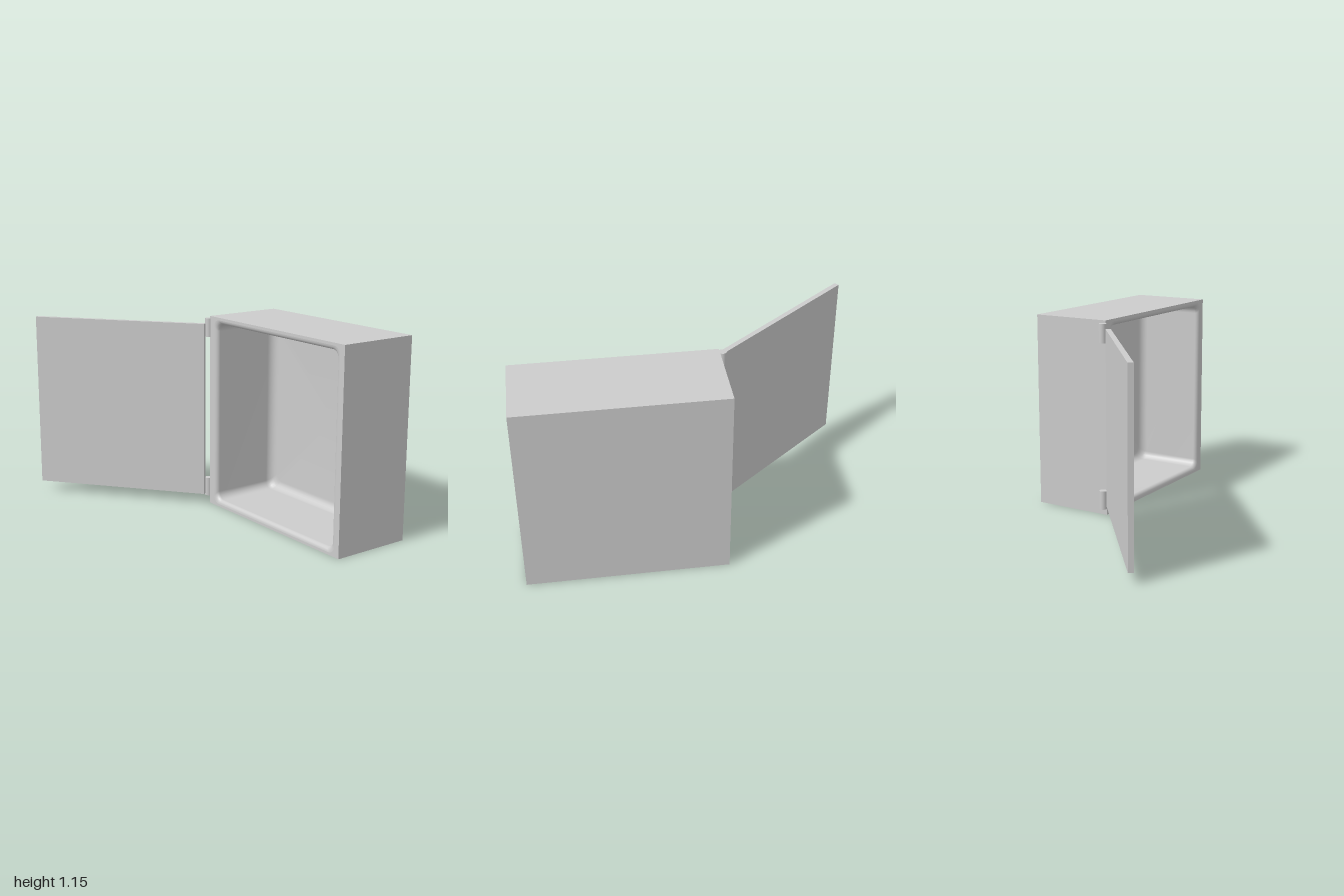
import * as THREE from 'three';

const grey = () => new THREE.MeshStandardMaterial({ color: 0xcccccc });

function add(parent, name, geometry, x = 0, y = 0, z = 0) {
  const mesh = new THREE.Mesh(geometry, grey());
  mesh.name = name;
  mesh.position.set(x, y, z);
  parent.add(mesh);
  return mesh;
}

// Counter-clockwise rounded rectangle
function ring(x0, x1, y0, y1, r, steps = 5) {
  const corners = [[x1 - r, y0 + r, -0.5], [x1 - r, y1 - r, 0], [x0 + r, y1 - r, 0.5], [x0 + r, y0 + r, 1]];
  const points = [];
  for (const [cx, cy, start] of corners) {
    for (let i = 0; i <= steps; i++) {
      const a = (start + 0.5 * i / steps) * Math.PI;
      points.push(new THREE.Vector2(cx + r * Math.cos(a), cy + r * Math.sin(a)));
    }
  }
  return points;
}

// Opening outline, shrunk by an inset
const opening = (inset) => ring(-0.085 + inset, 0.94 - inset, 0.04 + inset, 1.11 - inset, 0.045);

const FRONT = -0.115, BACK = -0.595;

function cavityGeometry() {
  // Profile: rounded lip, straight wall, fillet into the back
  const lip = 0.025, fillet = 0.05, floor = -0.55;
  const profile = [];
  for (let i = 0; i <= 5; i++) {
    const a = i / 5 * Math.PI / 2;
    profile.push([-lip + lip * Math.sin(a), FRONT - lip + lip * Math.cos(a)]);
  }
  for (let i = 0; i <= 6; i++) {
    const a = i / 6 * Math.PI / 2;
    profile.push([fillet * (1 - Math.cos(a)), floor + fillet * (1 - Math.sin(a))]);
  }
  const positions = [], index = [];
  let count = 0;
  for (const [inset, z] of profile) {
    const points = opening(inset);
    count = points.length;
    for (const p of points) positions.push(p.x, p.y, z);
  }
  for (let i = 0; i < profile.length - 1; i++) {
    for (let j = 0; j < count; j++) {
      const a = i * count + j, b = i * count + (j + 1) % count;
      index.push(a, b, a + count, b, b + count, a + count);
    }
  }
  // Slightly dished back panel
  const last = (profile.length - 1) * count, centre = profile.length * count;
  positions.push(0.4275, 0.575, floor - 0.02);
  for (let j = 0; j < count; j++) index.push(last + j, last + (j + 1) % count, centre);
  const g = new THREE.BufferGeometry();
  g.setAttribute('position', new THREE.Float32BufferAttribute(positions, 3));
  g.setIndex(index);
  g.computeVertexNormals();
  return g;
}

export function createModel() {
  const model = new THREE.Group();
  model.name = 'wallCabinet';

  // Cabinet: outer shell without its front face, front rim, inner cavity
  const cabinet = new THREE.Group();
  cabinet.name = 'cabinet';
  model.add(cabinet);
  const shell = new THREE.BoxGeometry(1.15, 1.15, FRONT - BACK);
  const faces = Array.from(shell.index.array);
  faces.splice(24, 6);
  shell.setIndex(faces);
  shell.clearGroups();
  add(cabinet, 'outerShell', shell, 0.425, 0.575, (FRONT + BACK) / 2);

  const rim = new THREE.Shape([[-0.15, 0], [1, 0], [1, 1.15], [-0.15, 1.15]].map(([x, y]) => new THREE.Vector2(x, y)));
  rim.holes.push(new THREE.Path(opening(-0.025).reverse()));
  add(cabinet, 'frontRim', new THREE.ShapeGeometry(rim), 0, 0, FRONT);
  add(cabinet, 'cavity', cavityGeometry());

  // Door swung open
  const door = add(model, 'door', new THREE.BoxGeometry(1.062, 1.045, 0.03), -0.579, 0.5825, 0.247);
  door.rotation.y = 0.68;

  // Hinge barrels
  for (const [name, x, y] of [['lowerHinge', -0.176, 0.1], ['upperHinge', -0.17, 1.08]]) {
    add(model, name, new THREE.CylinderGeometry(0.023, 0.023, 0.11, 24), x, y, -0.122);
  }
  return model;
}
